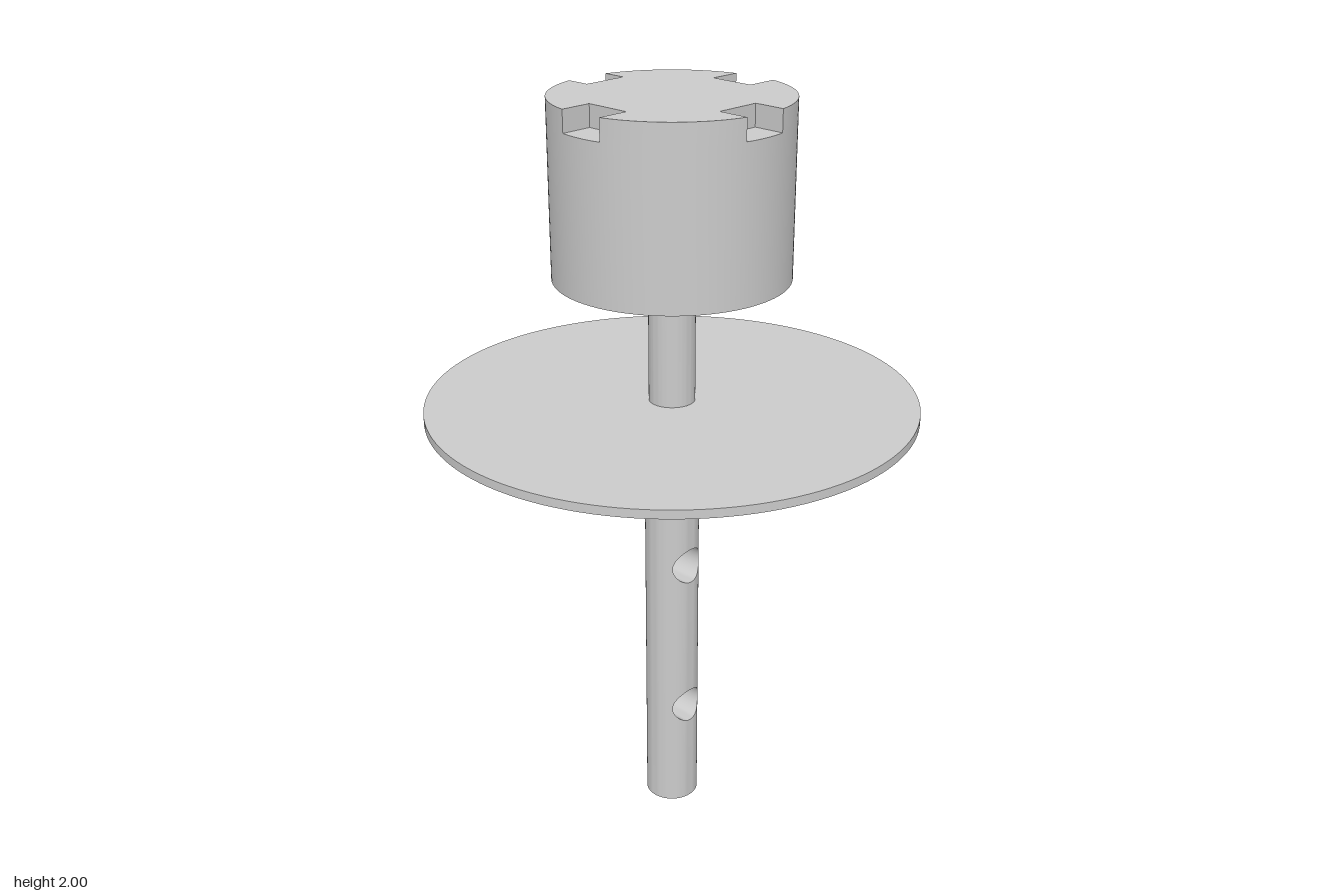
import * as THREE from 'three';
import { toCreasedNormals } from 'three/addons/utils/BufferGeometryUtils.js';

const material = new THREE.MeshStandardMaterial({ color: 0xcccccc });

function addPart(parent, name, geometry) {
  const mesh = new THREE.Mesh(geometry, material);
  mesh.name = name;
  parent.add(mesh);
  return mesh;
}

// Solid of revolution from [radius, y] pairs, listed bottom to top
function revolve(profile, segments = 128) {
  const points = profile.map(([r, y]) => new THREE.Vector2(r, y));
  return toCreasedNormals(new THREE.LatheGeometry(points, segments), 0.6);
}

// Surface from quads, each given as four [x, y, z] corners in counter-clockwise order
function quadSurface(quads) {
  const positions = quads.flatMap(([a, b, c, d]) => [a, b, c, a, c, d].flat());
  const geometry = new THREE.BufferGeometry();
  geometry.setAttribute('position', new THREE.Float32BufferAttribute(positions, 3));
  return toCreasedNormals(geometry, 0.6);
}

// Round rod whose wall is pierced along x by round holes
function piercedRod(radius, top, holeRadius, holeHeights) {
  const quads = [];
  const steps = 16;
  const edge = Math.asin(holeRadius / radius);

  // Column angles: dense across the holes, even in between
  const angles = [];
  for (const base of [0, Math.PI]) {
    for (let i = 0; i <= steps; i++) {
      const t = -Math.PI / 2 + (Math.PI * i) / steps;
      angles.push(base + Math.asin((holeRadius * Math.sin(t)) / radius));
    }
    for (let i = 1; i < steps; i++) angles.push(base + edge + ((Math.PI - 2 * edge) * i) / steps);
  }
  const columns = angles.map((angle) => {
    const x = radius * Math.cos(angle), z = radius * Math.sin(angle);
    const w = Math.sqrt(Math.max(0, holeRadius ** 2 - z ** 2));
    const heights = [0, ...holeHeights.flatMap((y) => [y - w, y + w]), top];
    return heights.map((y) => [x, y, z]);
  });
  columns.forEach((a, i) => {
    const b = columns[(i + 1) % columns.length];
    for (let j = 0; j < a.length; j += 2) quads.push([b[j], a[j], a[j + 1], b[j + 1]]);
  });

  // Hole walls
  for (const y of holeHeights) {
    const rim = (i, side) => {
      const phi = (Math.PI * i) / steps;
      const z = holeRadius * Math.cos(phi);
      return [side * Math.sqrt(radius ** 2 - z ** 2), y + holeRadius * Math.sin(phi), z];
    };
    for (let i = 0; i < 2 * steps; i++) quads.push([rim(i, 1), rim(i, -1), rim(i + 1, -1), rim(i + 1, 1)]);
  }
  return quadSurface(quads);
}

// Head with four rim notches; depths holds each notch's inner distance from the axis
function buildHead(radius, neckRadius, bottom, top, notchFloor, halfWidth, depths) {
  const head = new THREE.Group();
  head.name = 'head';
  addPart(head, 'headBody', revolve([[neckRadius, bottom], [radius, bottom], [radius, notchFloor]]));

  const centre = new THREE.Vector2();
  const half = Math.asin(halfWidth / radius);
  const arc = (from, to, n) => Array.from({ length: n + 1 }, (_, i) => {
    const a = from + ((to - from) * i) / n;
    return new THREE.Vector2(radius * Math.cos(a), radius * Math.sin(a));
  });
  const flat = (points, y) =>
    new THREE.ShapeGeometry(new THREE.Shape(points)).rotateX(-Math.PI / 2).translate(0, y, 0);

  const outline = [];
  depths.forEach((inner, k) => {
    const turn = (k * Math.PI) / 2;
    const corners = [-halfWidth, halfWidth].map((w) => new THREE.Vector2(inner, w).rotateAround(centre, turn));
    outline.push(...corners, ...arc(turn + half, turn + Math.PI / 2 - half, 28));
    addPart(head, 'notchFloor', flat([...arc(turn - half, turn + half, 8), corners[1], corners[0]], notchFloor));
  });
  addPart(head, 'headTop', flat(outline, top));
  addPart(head, 'notchedRim', quadSurface(outline.map((a, i) => {
    const b = outline[(i + 1) % outline.length];
    return [[a.x, notchFloor, -a.y], [b.x, notchFloor, -b.y], [b.x, top, -b.y], [a.x, top, -a.y]];
  })));
  return head;
}

export function createModel() {
  const model = new THREE.Group();
  model.name = 'plungerShaft';

  const shaftRadius = 0.072, neckRadius = 0.06, discRadius = 0.636;
  const discBottom = 1.197, discTop = 1.22, headBottom = 1.552;

  // Lower shaft with two cross holes
  addPart(model, 'shaft', piercedRod(shaftRadius, discBottom, 0.05, [0.31, 0.755]));
  const end = addPart(model, 'shaftEnd', new THREE.CircleGeometry(shaftRadius, 64));
  end.rotation.x = Math.PI / 2;

  // Thin flange
  addPart(model, 'disc', revolve([
    [shaftRadius, discBottom], [discRadius, discBottom], [discRadius, discTop], [neckRadius, discTop],
  ]));

  // Narrower neck and notched head
  addPart(model, 'neck', revolve([[neckRadius, discTop], [neckRadius, headBottom]], 64));
  model.add(buildHead(0.3, neckRadius, headBottom, 2, 1.945, 0.061, [0.21, 0.21, 0.23, 0.21]));

  return model;
}
